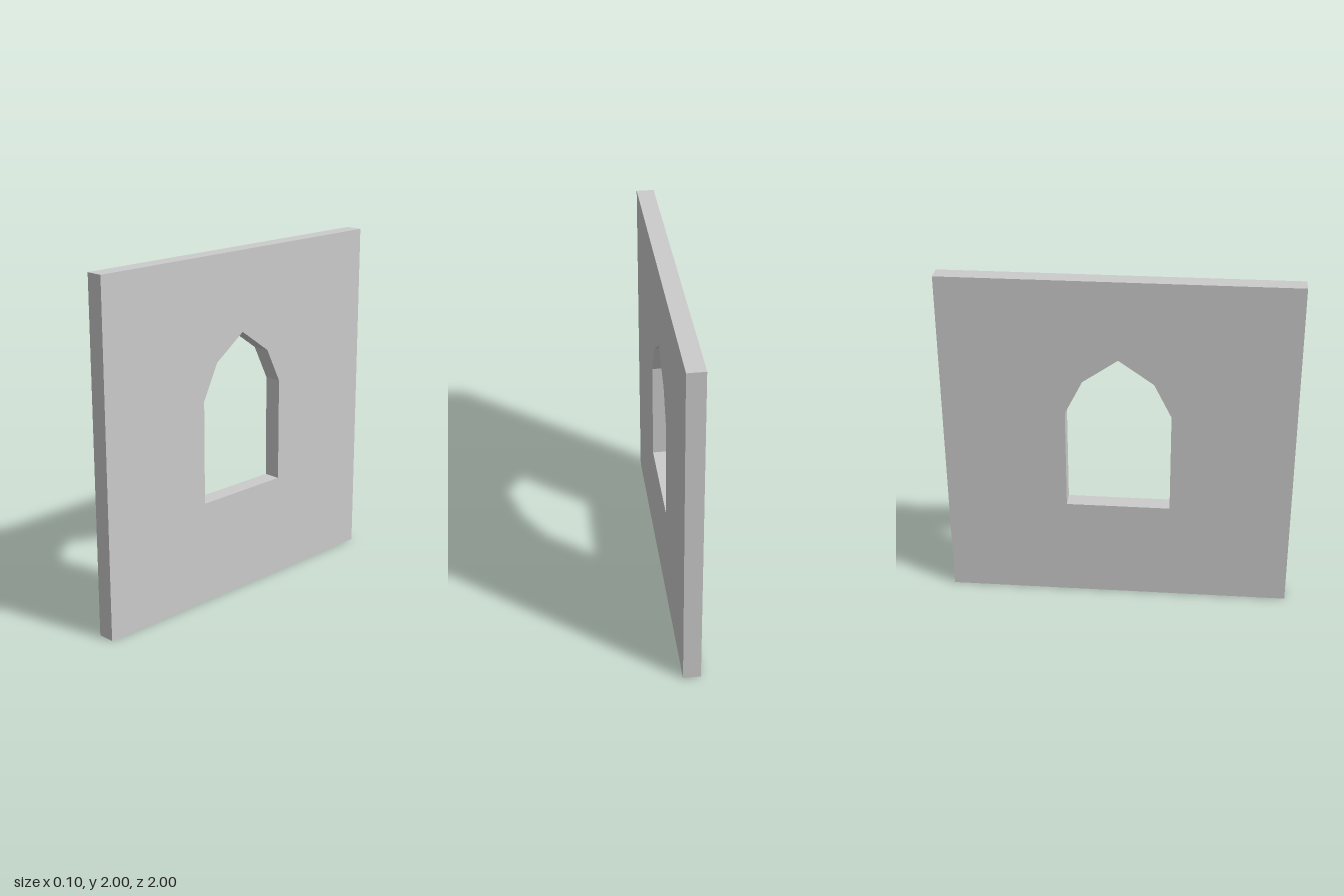
import * as THREE from 'three';

const THICKNESS = 0.1;

export function createModel() {
  const group = new THREE.Group();
  group.name = 'windowWall';

  // Square wall outline
  const outline = new THREE.Shape([
    new THREE.Vector2(-1, 0),
    new THREE.Vector2(1, 0),
    new THREE.Vector2(1, 2),
    new THREE.Vector2(-1, 2),
  ]);

  // Pointed-arch window: right half from sill to shoulder, mirrored about the apex
  const half = [[0.3, 0.6], [0.3, 1.2], [0.2, 1.4]];
  const arch = [
    ...half,
    [0, 1.54],
    ...half.map(([x, y]) => [-x, y]).reverse(),
  ];
  outline.holes.push(new THREE.Path(arch.map(([x, y]) => new THREE.Vector2(x, y))));

  // Extrude, centre the thickness, then turn the wall to lie along z
  const geometry = new THREE.ExtrudeGeometry(outline, { depth: THICKNESS, bevelEnabled: false });
  geometry.translate(0, 0, -THICKNESS / 2);
  geometry.rotateY(Math.PI / 2);

  const wall = new THREE.Mesh(
    geometry,
    new THREE.MeshStandardMaterial({ color: 0xcccccc, flatShading: true })
  );
  wall.name = 'wall';
  group.add(wall);
  return group;
}
